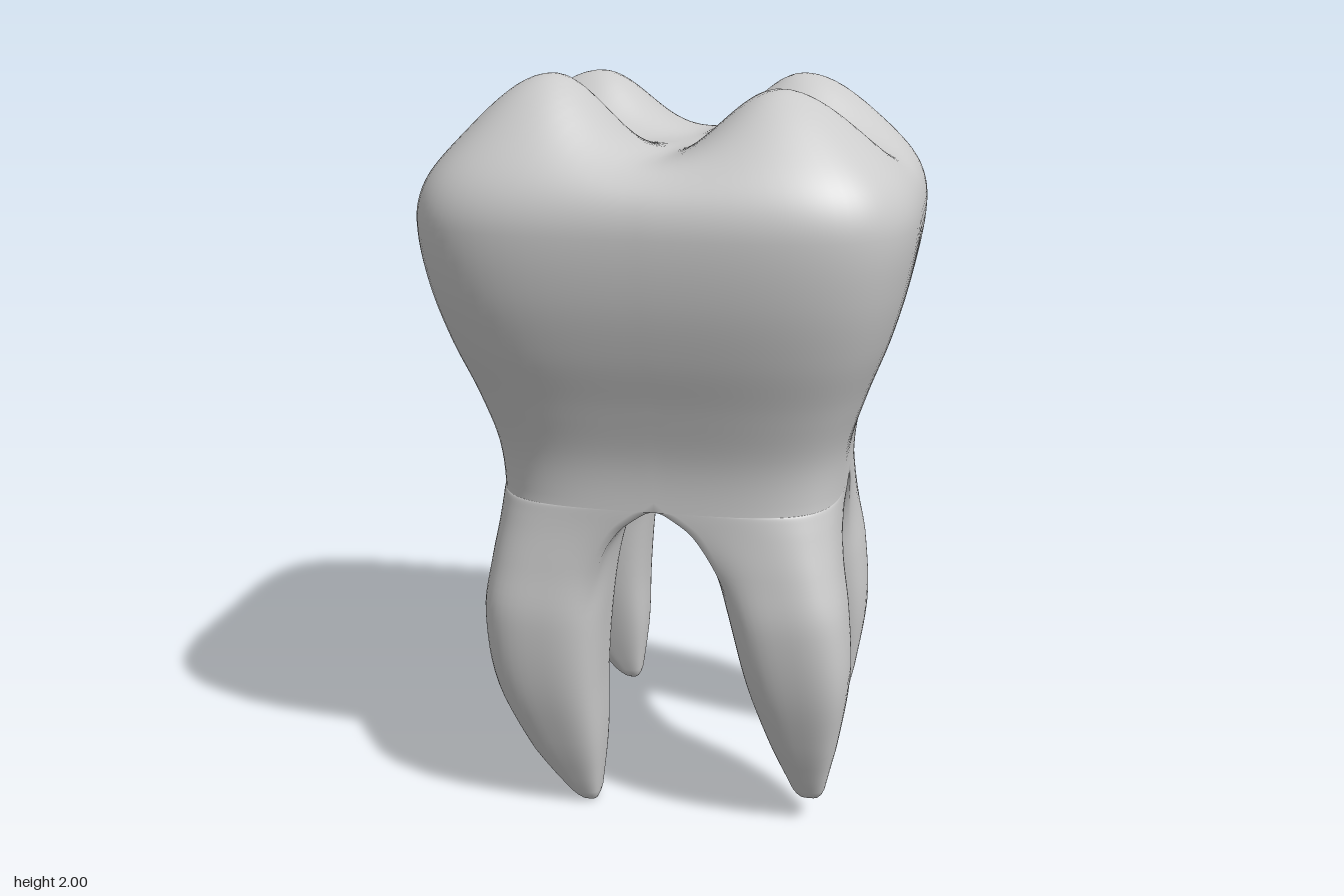
import * as THREE from 'three';
import { mergeVertices } from 'three/addons/utils/BufferGeometryUtils.js';

const FORK = 0.93;   // height where the roots split
const BELLY = 1.65;  // height of the widest crown ring
const SEG = 14;      // samples along one side of a section

// Outer profiles (distance from the axis) by height, for each side
const OUT_Y = [1.8, 1.65, 1.5, 1.35, 1.2, 1.05, 0.9, 0.75, 0.6, 0.4, 0.2, 0.1, 0];
const OUT = {
  xNeg: [0.61, 0.63, 0.61, 0.565, 0.505, 0.46, 0.45, 0.465, 0.48, 0.46, 0.385, 0.325, 0.25],
  xPos: [0.605, 0.625, 0.605, 0.565, 0.51, 0.465, 0.455, 0.465, 0.485, 0.495, 0.47, 0.45, 0.43],
  zNeg: [0.555, 0.57, 0.555, 0.52, 0.475, 0.43, 0.415, 0.42, 0.435, 0.435, 0.395, 0.365, 0.33],
  zPos: [0.56, 0.575, 0.56, 0.52, 0.465, 0.42, 0.41, 0.42, 0.43, 0.405, 0.345, 0.305, 0.265],
};
// Inner root profiles forming the arches between the roots
const IN_Y = [0.93, 0.91, 0.87, 0.8, 0.6, 0.4, 0.2, 0];
const IN = {
  xNeg: [0, 0.045, 0.09, 0.125, 0.155, 0.17, 0.175, 0.195],
  xPos: [0, 0.045, 0.09, 0.125, 0.18, 0.225, 0.285, 0.36],
  zNeg: [0, 0.035, 0.08, 0.115, 0.15, 0.185, 0.23, 0.28],
  zPos: [0, 0.035, 0.065, 0.085, 0.1, 0.115, 0.14, 0.2],
};
const archKey = (y) => Math.sqrt(Math.max(0, FORK - y));
const OUT_KEYS = OUT_Y.map((y) => -y);
const IN_KEYS = IN_Y.map(archKey);

// Smooth interpolation of values over rising keys
function smooth(keys, vals, k) {
  const last = keys.length - 1;
  let i = 0;
  while (i < last - 1 && k > keys[i + 1]) i++;
  const slope = (j) => {
    const a = Math.max(j - 1, 0), b = Math.min(j + 1, last);
    return (vals[b] - vals[a]) / (keys[b] - keys[a]);
  };
  const h = keys[i + 1] - keys[i];
  const t = THREE.MathUtils.clamp((k - keys[i]) / h, 0, 1), t2 = t * t, t3 = t2 * t;
  return (2 * t3 - 3 * t2 + 1) * vals[i] + (t3 - 2 * t2 + t) * h * slope(i)
    + (3 * t2 - 2 * t3) * vals[i + 1] + (t3 - t2) * h * slope(i + 1);
}
const outer = (side, y) => smooth(OUT_KEYS, OUT[side], -y);
const inner = (side, y) => smooth(IN_KEYS, IN[side], archKey(y));

// Pull a point of the square's edge onto a rounded square
function rounded(u, v, n) {
  const d = Math.pow(Math.abs(u) ** n + Math.abs(v) ** n, 1 / n);
  return [u / d, v / d];
}

// Unit square loop: first half is the outer side, second half the inner side
const LOOP = [];
[[1, 0], [1, 1], [0, 1], [0, 0], [1, 0]].forEach(([u, v], i, c) => {
  if (i === 4) return;
  for (let k = 0; k < SEG; k++) {
    const t = k / SEG;
    LOOP.push([u + (c[i + 1][0] - u) * t, v + (c[i + 1][1] - v) * t]);
  }
});
LOOP.push([1, 0]);
const OUTLINE = LOOP.slice(0, 2 * SEG + 1).map(([u, v]) => rounded(u, v, 4.2));

// One cusp per quarter: peak inside, valleys on the two axes
function bump(d, peak) {
  if (d < peak) return 0.5 - 0.5 * Math.cos(Math.PI * d / peak);
  return 0.5 + 0.5 * Math.cos(Math.PI * Math.min((d - peak) / 0.36, 1));
}

function crownRows(sx, sz, xs, zs) {
  const rows = [];
  const cusp = sx < 0 && sz > 0 ? 0.19 : 0.16;
  // Chewing surface, from the centre out to the widest ring
  for (let k = 0; k <= 40; k++) {
    const r = 1 - (1 - k / 40) ** 1.8;
    rows.push(OUTLINE.map(([u, v]) => {
      const x = u * r * outer(xs, BELLY), z = v * r * outer(zs, BELLY);
      const rim = Math.sqrt(Math.max(0, 1 - r ** 10));
      const y = BELLY + 0.16 * rim + cusp * rim * bump(x, 0.28) * bump(z, 0.25);
      return [sx * x, y, sz * z];
    }));
  }
  // Crown wall down to the fork
  for (let k = 1; k <= 28; k++) {
    const y = BELLY + (FORK - BELLY) * k / 28;
    rows.push(OUTLINE.map(([u, v]) => [sx * u * outer(xs, y), y, sz * v * outer(zs, y)]));
  }
  return rows;
}

function rootRows(sx, sz, xs, zs, tip) {
  const steps = [];
  for (let k = 0; k <= 36; k++) steps.push([FORK - (FORK - 0.035) * (k / 36) ** 2, 1]);
  steps.push([0.018, 0.92], [0.006, 0.75], [0, 0.5], [0, 0]); // rounded tip
  return steps.map(([y, scale]) => {
    const b = THREE.MathUtils.smoothstep(FORK - y, 0, 0.3);
    const x0 = inner(xs, y), x1 = outer(xs, y), z0 = inner(zs, y), z1 = outer(zs, y);
    return LOOP.map(([u, v], j) => {
      const [p, q] = j < OUTLINE.length ? OUTLINE[j] : [u, v];
      const [ru, rv] = rounded(2 * u - 1, 2 * v - 1, 3.2);
      const mu = 0.5 + scale * (p + (0.5 + ru / 2 - p) * b - 0.5);
      const mv = 0.5 + scale * (q + (0.5 + rv / 2 - q) * b - 0.5);
      return [sx * (x0 + (x1 - x0) * mu), tip + y * (FORK - tip) / FORK, sz * (z0 + (z1 - z0) * mv)];
    });
  });
}

// Skin a list of equal rows; mirrored quarters swap the winding
function skin(rows, flip, pos) {
  const add = (a, b, c) => (flip ? pos.push(...a, ...c, ...b) : pos.push(...a, ...b, ...c));
  for (let i = 0; i < rows.length - 1; i++) {
    for (let j = 0; j < rows[i].length - 1; j++) {
      const a = rows[i][j], b = rows[i][j + 1], c = rows[i + 1][j], d = rows[i + 1][j + 1];
      add(a, b, c);
      add(b, d, c);
    }
  }
}

export function createModel() {
  const group = new THREE.Group();
  group.name = 'molarTooth';
  const pos = [];
  // Four quarters: sign of x, sign of z, height of the root tip
  for (const [sx, sz, tip] of [[1, 1, 0.07], [-1, 1, 0], [1, -1, 0.05], [-1, -1, 0.12]]) {
    const xs = sx > 0 ? 'xPos' : 'xNeg', zs = sz > 0 ? 'zPos' : 'zNeg';
    skin(crownRows(sx, sz, xs, zs), sx * sz < 0, pos);
    skin(rootRows(sx, sz, xs, zs, tip), sx * sz < 0, pos);
  }
  // Weld the quarters so crown and roots shade as one smooth surface
  let geo = new THREE.BufferGeometry();
  geo.setAttribute('position', new THREE.Float32BufferAttribute(pos, 3));
  geo = mergeVertices(geo, 1e-4);
  geo.computeVertexNormals();
  const tooth = new THREE.Mesh(geo, new THREE.MeshStandardMaterial({ color: 0xcccccc }));
  tooth.name = 'crownAndRoots';
  group.add(tooth);
  return group;
}
